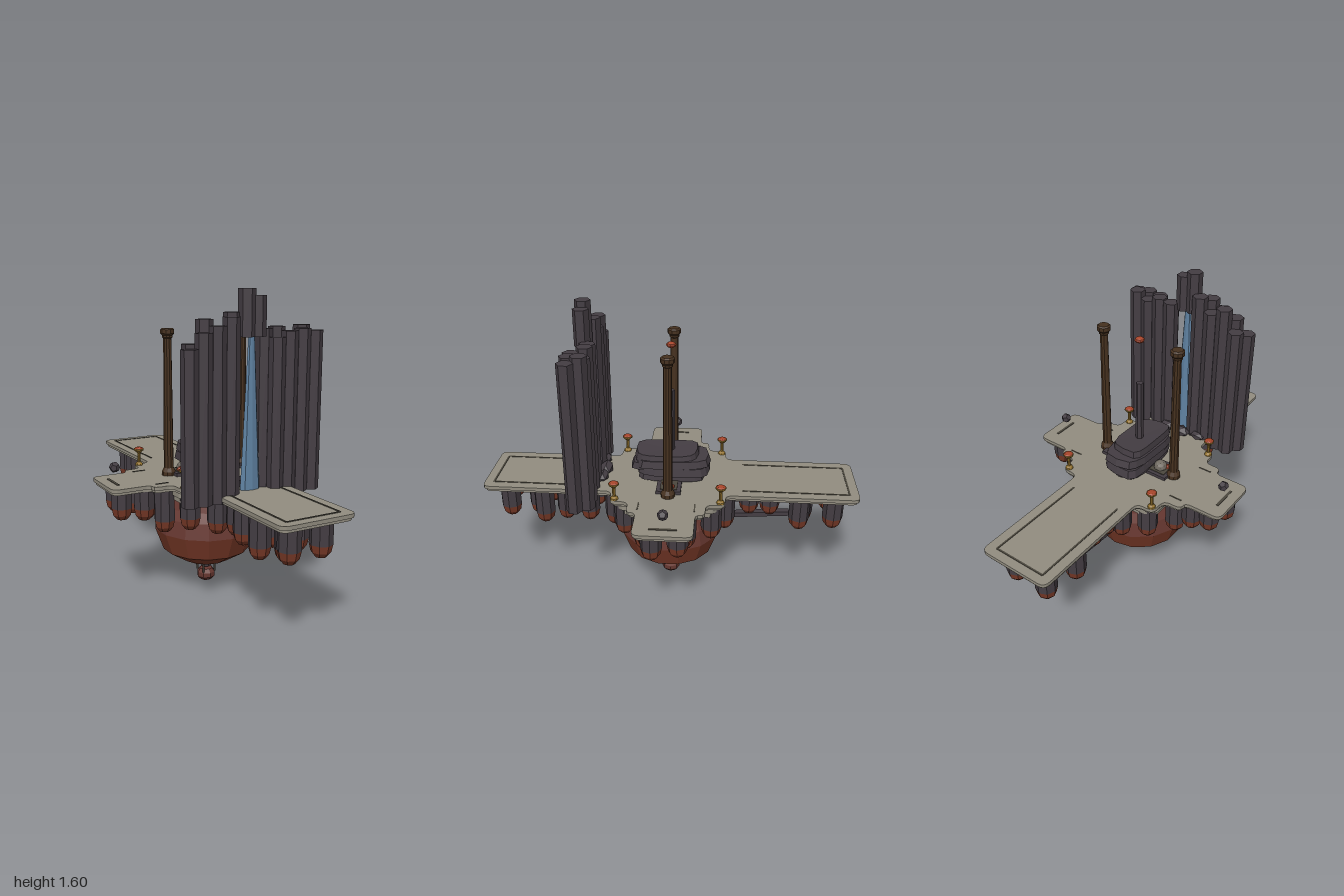
import * as THREE from 'three';

const mat = (name, color) => {
  const m = new THREE.MeshStandardMaterial({ color, flatShading: true });
  m.name = name;
  return m;
};

// Closed shape with softened corners
function roundedShape(pts, r) {
  const s = new THREE.Shape();
  const v = pts.map(p => new THREE.Vector2(p[0], p[1]));
  v.forEach((p, i) => {
    const toward = q => p.clone().add(q.clone().sub(p).setLength(Math.min(r, p.distanceTo(q) * 0.45)));
    const a = toward(v[(i + v.length - 1) % v.length]);
    const b = toward(v[(i + 1) % v.length]);
    if (i === 0) s.moveTo(a.x, a.y); else s.lineTo(a.x, a.y);
    s.quadraticCurveTo(p.x, p.y, b.x, b.y);
  });
  s.closePath();
  return s;
}

// Mirror one quarter of an outline into all four quadrants
function mirrored(q) {
  const rev = [...q].reverse();
  return [
    ...q,
    ...rev.map(([x, z]) => [x, -z]),
    ...q.map(([x, z]) => [-x, -z]),
    ...rev.map(([x, z]) => [-x, z]),
  ];
}

export function createModel() {
  const root = new THREE.Group();
  root.name = 'floatingShrine';
  const stone = mat('stone', 0x928d80);
  const basalt = mat('basalt', 0x443d43);
  const clay = mat('terracotta', 0x7a3a28);
  const darkClay = mat('darkClay', 0x663730);
  const wood = mat('darkWood', 0x46311f);
  const gold = mat('gold', 0x94732e);
  const ember = mat('ember', 0xa8452a);
  const water = mat('water', 0x5f82a2);
  const groove = mat('groove', 0x4c483e);
  const ash = mat('ash', 0x716b62);

  const add = (name, geo, m, x = 0, y = 0, z = 0, parent = root) => {
    const mesh = new THREE.Mesh(geo, m);
    mesh.name = name;
    mesh.position.set(x, y, z);
    parent.add(mesh);
    return mesh;
  };
  const box = (name, m, w, h, d, x, y, z) => add(name, new THREE.BoxGeometry(w, h, d), m, x, y, z);
  const lathe = (pts, n) => new THREE.LatheGeometry(pts.map(p => new THREE.Vector2(p[0], p[1])), n);
  const slab = (name, pts, r, y, h, m) => {
    const geo = new THREE.ExtrudeGeometry(roundedShape(pts, r), { depth: h, bevelEnabled: false, curveSegments: 4 });
    geo.rotateX(-Math.PI / 2);
    return add(name, geo, m, 0, y, 0);
  };

  // Cross-shaped deck with an inset lower lip
  const outline = e => mirrored([[0.6 - e, 0.15 - e], [0.4 - e, 0.15 - e], [0.4 - e, 0.2 - e], [0.3 - e, 0.2 - e],
    [0.3 - e, 0.3 - e], [0.2 - e, 0.3 - e], [0.2 - e, 1 - e]].reverse());
  slab('deck', outline(0), 0.04, 0.616, 0.019, stone);
  slab('deckLip', outline(0.008), 0.04, 0.602, 0.014, stone);

  // Stepped moulding below the centre
  [[0.285, 0.572, 0.03], [0.275, 0.545, 0.027]].forEach(([s, y, h]) =>
    slab('moulding', mirrored([[s - 0.05, s], [s, s - 0.05]]), 0.01, y, h, stone));

  // Grooves on the arms
  for (const s of [-1, 1]) {
    for (const x of [-0.145, 0.145]) box('armGroove', groove, 0.009, 0.003, 0.56, x, 0.636, s * 0.67);
    box('armGrooveEnd', groove, 0.29, 0.003, 0.009, 0, 0.636, s * 0.95);
    box('sideSlit', groove, 0.014, 0.004, 0.14, s * 0.54, 0.636, 0);
    for (const z of [-0.145, 0.145]) box('sideGroove', groove, 0.07, 0.003, 0.007, s * 0.335, 0.636, z);
    add('floatingStone', new THREE.DodecahedronGeometry(0.028), basalt, s * 0.53, 0.712, 0);
  }

  // Wall of hexagonal basalt columns in two staggered rows
  const column = (x, z, y0, y1) =>
    add('wallColumn', new THREE.CylinderGeometry(0.042, 0.042, y1 - y0, 6), basalt, x, (y0 + y1) / 2, z);
  const rows = [
    [0.47, [[-0.347, 1.33], [-0.274, 1.4], [-0.2, 1.43], [-0.127, 1.47], [0.127, 1.37], [0.2, 1.4], [0.274, 1.41], [0.347, 1.4]]],
    [0.41, [[-0.31, 1.35], [-0.237, 1.46], [-0.163, 1.42], [-0.09, 1.49], [0.09, 1.41], [0.163, 1.42], [0.237, 1.39], [0.31, 1.425]]],
  ];
  rows.forEach(([z, list]) => list.forEach(([x, top]) => column(x, z, 0.6, top)));
  column(-0.03, 0.445, 1.375, 1.597);
  column(0.03, 0.445, 1.375, 1.567);

  // Waterfall in the gap of the wall
  add('waterfall', new THREE.CylinderGeometry(0.018, 0.056, 0.745, 8), water, 0, 1.005, 0.44).scale.z = 0.5;

  // Boulders behind the wall
  [[-0.14, 0.375, 0.04], [-0.03, 0.36, 0.055], [0.06, 0.365, 0.045]].forEach(([x, z, r]) => {
    add('boulder', new THREE.IcosahedronGeometry(r, 0), basalt, x, 0.65, z).scale.set(1.2, 0.65, 0.7);
  });

  // Fire trough with embers and ash
  box('fireTrough', basalt, 0.42, 0.02, 0.13, 0, 0.642, 0);
  box('fireBed', groove, 0.38, 0.004, 0.09, 0, 0.654, 0);
  [[0.14, 0.02], [0.17, -0.015], [0.155, 0], [-0.17, 0.02]].forEach(([x, z]) =>
    add('emberCoal', new THREE.IcosahedronGeometry(0.018), ember, x, 0.66, z));
  add('ashStone', new THREE.IcosahedronGeometry(0.036, 1), ash, -0.14, 0.665, 0);

  // Stacked rough slabs: half width, half length, z offset, base, height
  [[0.1, 0.18, 0, 0.65, 0.045], [0.112, 0.2, -0.015, 0.68, 0.045], [0.105, 0.19, 0.02, 0.71, 0.035],
    [0.115, 0.2, -0.01, 0.73, 0.04], [0.1, 0.175, 0.02, 0.76, 0.042]].forEach(([w, l, dz, y, h], k) => {
    const geo = new THREE.CylinderGeometry(0.94, 1, 1, 14);
    const p = geo.attributes.position;
    for (let i = 0; i < p.count; i++) {
      const x = p.getX(i), z = p.getZ(i), a = Math.atan2(z, x);
      const f = Math.hypot(x, z) * (1 + 0.035 * Math.sin(3 * a + k * 2));
      const sq = t => Math.sign(t) * Math.sqrt(Math.abs(t));
      p.setXYZ(i, sq(Math.cos(a)) * w * f, (p.getY(i) + 0.12 * Math.sin(a + k)) * h, sq(Math.sin(a)) * l * f);
    }
    geo.computeVertexNormals();
    add('stackedSlab', geo, basalt, 0, y + h / 2, dz);
  });
  add('centreSpire', new THREE.CylinderGeometry(0.019, 0.022, 0.37, 6), basalt, 0, 0.955, 0);
  add('floatingEmber', new THREE.SphereGeometry(0.026, 8, 6), ember, 0, 1.385, 0).scale.y = 0.6;

  // Tall posts with base and capital
  const post = lathe([[0, 0], [0.037, 0], [0.037, 0.025], [0.026, 0.045], [0.021, 0.72], [0.027, 0.725],
    [0.027, 0.735], [0.036, 0.745], [0.036, 0.765], [0.028, 0.772], [0, 0.772]], 10);
  for (const s of [-1, 1]) add('post', post, wood, s * 0.225, 0.63, 0);

  // Corner lamps
  const stand = lathe([[0, 0], [0.022, 0], [0.02, 0.01], [0.009, 0.02], [0.009, 0.07], [0.028, 0.088], [0.028, 0.096], [0, 0.096]], 8);
  for (const x of [-0.275, 0.275]) for (const z of [-0.275, 0.275]) {
    add('lampStand', stand, gold, x, 0.633, z);
    add('lampFlame', new THREE.SphereGeometry(0.027, 8, 4), ember, x, 0.728, z).scale.y = 0.35;
  }

  // Faceted bowl below the deck
  add('bowl', lathe([[0, 0.12], [0.13, 0.137], [0.24, 0.205], [0.285, 0.325]], 14), clay);
  add('bowlShoulder', lathe([[0.285, 0.325], [0.27, 0.41], [0.245, 0.46], [0.22, 0.55]], 14), darkClay);

  // Hanging finial on thin rods
  add('finial', lathe([[0, 0.002], [0.032, 0.006], [0.05, 0.025], [0.05, 0.05], [0.036, 0.07], [0, 0.072]], 8), darkClay);
  for (let i = 0; i < 4; i++) {
    const a = Math.PI / 4 + i * Math.PI / 2;
    box('finialRod', groove, 0.009, 0.08, 0.009, 0.05 * Math.cos(a), 0.097, 0.05 * Math.sin(a));
  }
  add('finialCore', new THREE.CylinderGeometry(0.03, 0.03, 0.01, 8), basalt, 0, 0.09, 0);

  // Hanging pods: basalt shaft with a clay dome
  const dome = lathe([[0, -0.065], [0.028, -0.06], [0.047, -0.036], [0.055, 0]], 8);
  const pod = (x, z, bottom) => {
    const g = new THREE.Group();
    g.name = 'hangingPod';
    root.add(g);
    const y = bottom + 0.065, h = 0.604 - y;
    add('podShaft', new THREE.CylinderGeometry(0.055, 0.055, h, 8), basalt, x, y + h / 2, z, g);
    add('podDome', dome, clay, x, y, z, g);
  };
  for (const s of [-1, 1]) {
    [[0.52, 0.06, 0.45], [0.5, -0.07, 0.46], [0.41, 0.09, 0.44], [0.4, -0.08, 0.43],
      [0.31, 0.12, 0.37], [0.31, -0.1, 0.38], [0.1, 0.3, 0.38], [0.1, -0.3, 0.38],
      [0.22, 0.23, 0.4], [0.22, -0.23, 0.39]].forEach(([x, z, b]) => pod(s * x, z, b));
  }
  [[-0.09, 0.9, 0.42], [0.1, 0.88, 0.41], [0, 0.75, 0.365], [0.11, 0.69, 0.38], [-0.11, 0.7, 0.38],
    [0.05, 0.58, 0.37], [-0.1, 0.55, 0.4], [0.1, 0.44, 0.4], [-0.06, 0.42, 0.4],
    [-0.09, -0.88, 0.4], [0.1, -0.88, 0.41], [0, -0.73, 0.375], [0.11, -0.7, 0.4], [-0.12, -0.7, 0.4],
    [0.09, -0.54, 0.475], [-0.09, -0.53, 0.475], [0.08, -0.43, 0.47], [-0.09, -0.42, 0.47]].forEach(p => pod(...p));

  // Sloping braces below the rear arm
  for (const x of [-0.08, 0.08]) box('rearBrace', basalt, 0.035, 0.025, 0.38, x, 0.46, -0.46).rotation.x = 0.08;

  return root;
}
